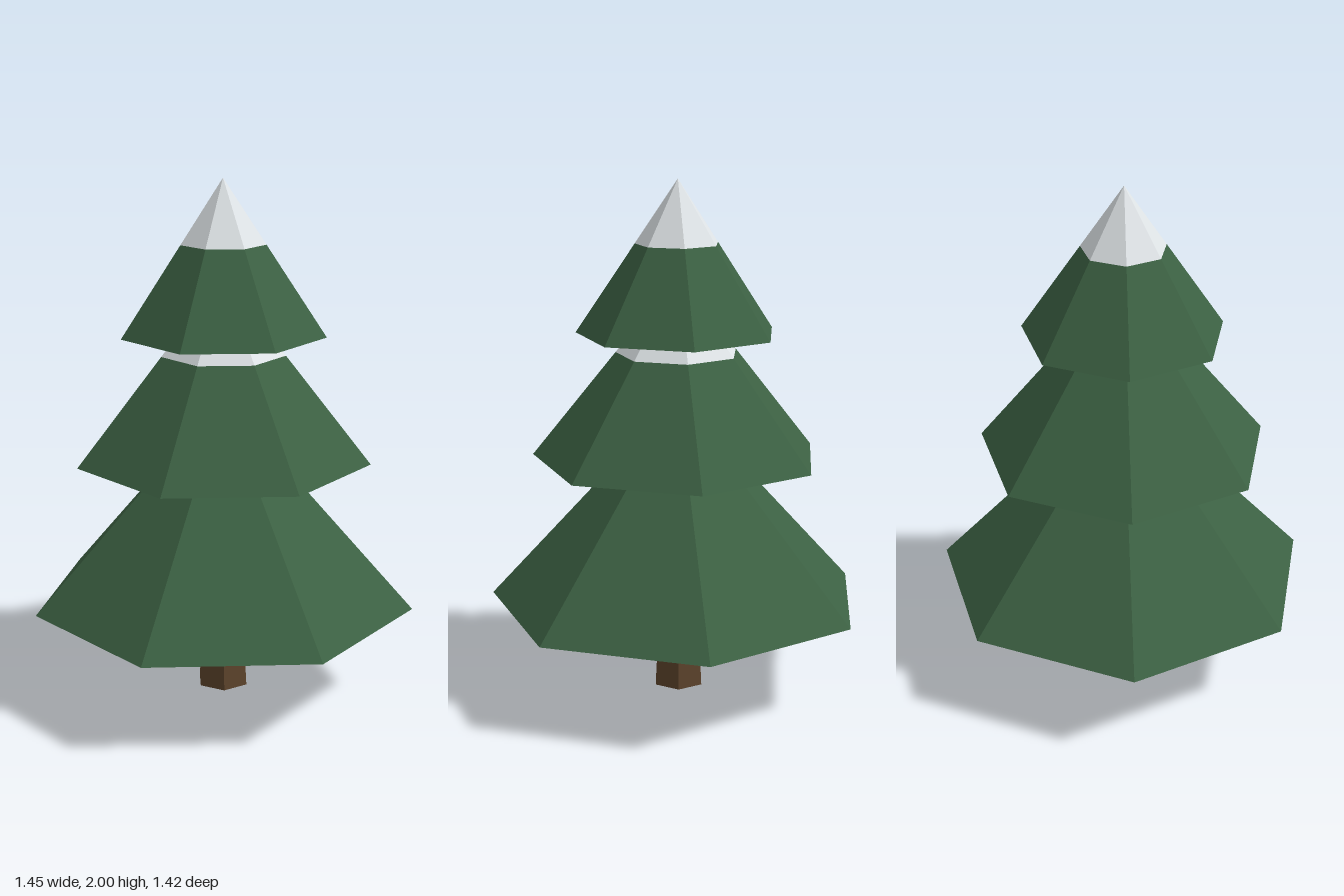
import * as THREE from 'three';

const CENTRE_Z = 0.037;

function flatMaterial(name, color) {
  const material = new THREE.MeshStandardMaterial({ color, flatShading: true });
  material.name = name;
  return material;
}

// Tapered prism between two heights, with a corner towards the given angle
function taper(name, material, sides, rBottom, rTop, y0, y1, angle, open = false) {
  const geometry = rTop === 0
    ? new THREE.ConeGeometry(rBottom, y1 - y0, sides, 1, open, angle)
    : new THREE.CylinderGeometry(rTop, rBottom, y1 - y0, sides, 1, open, angle);
  const mesh = new THREE.Mesh(geometry, material);
  mesh.name = name;
  mesh.position.set(0, (y0 + y1) / 2, CENTRE_Z);
  return mesh;
}

export function createModel() {
  const bark = flatMaterial('bark brown', 0x5d442c);
  const needles = flatMaterial('needle green', 0x3c6143);
  const snow = flatMaterial('snow white', 0xe0e5e8);

  const tree = new THREE.Group();
  tree.name = 'pineTree';

  // Six-sided trunk, running a little way into the lowest tier
  tree.add(taper('trunk', bark, 6, 0.105, 0.08, 0, 0.42, 0));

  // Seven-sided branch tiers; the upper two carry snow on their tips
  const tiers = [
    { name: 'lowerBranches', radius: 0.745, base: 0.355, apex: 1.17 },
    { name: 'middleBranches', radius: 0.57, base: 0.93, apex: 1.64, snowLine: 1.34 },
    { name: 'upperBranches', radius: 0.394, base: 1.415, apex: 2, snowLine: 1.757 },
  ];
  for (const { name, radius, base, apex, snowLine } of tiers) {
    const tier = new THREE.Group();
    tier.name = name;
    if (snowLine) {
      const snowRadius = radius * (apex - snowLine) / (apex - base);
      tier.add(taper('needles', needles, 7, radius, snowRadius, base, snowLine, Math.PI));
      tier.add(taper('snowCap', snow, 7, snowRadius, 0, snowLine, apex, Math.PI, true));
    } else {
      tier.add(taper('needles', needles, 7, radius, 0, base, apex, Math.PI));
    }
    tree.add(tier);
  }
  return tree;
}
